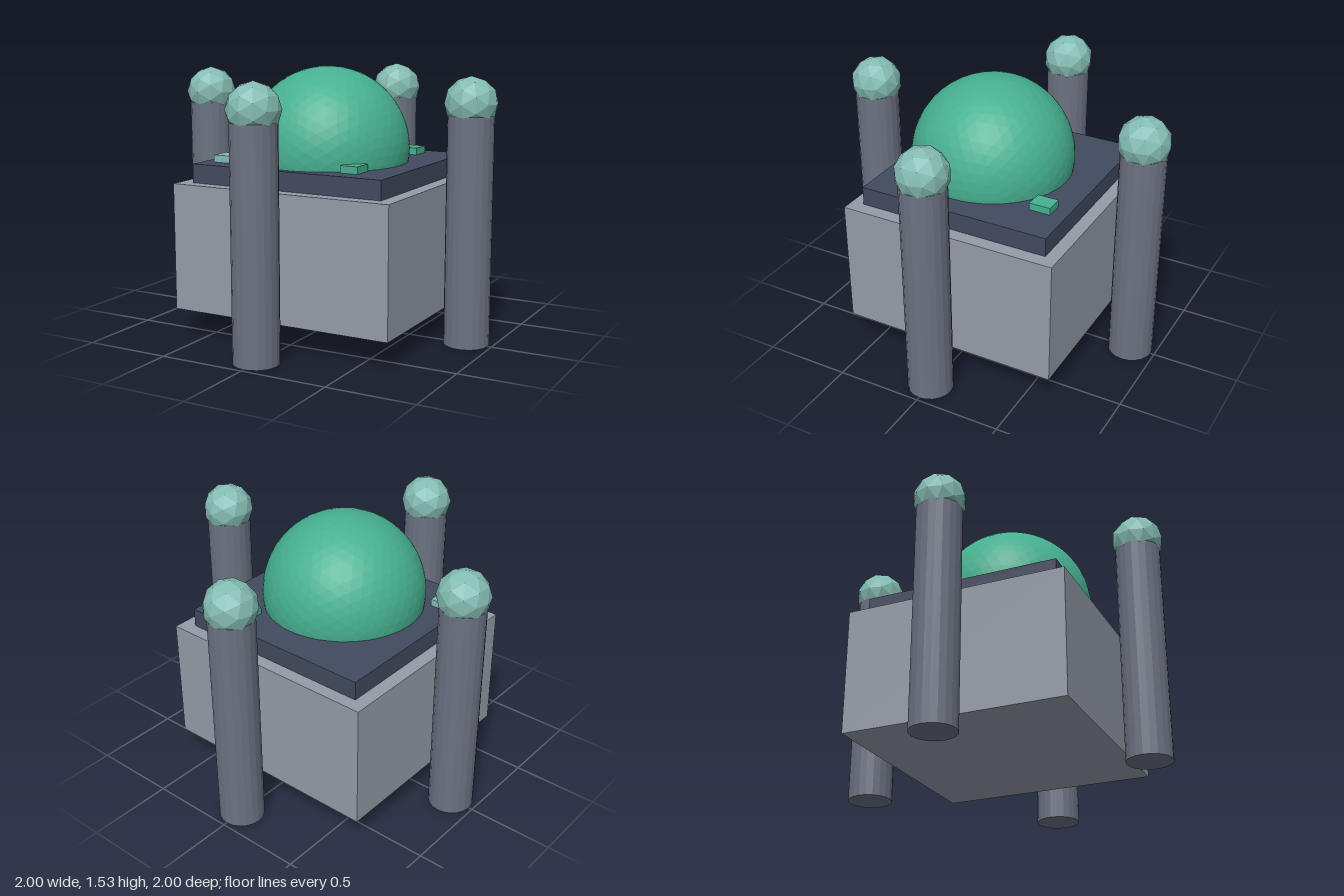
import * as THREE from 'three';

const flat = (color) => new THREE.MeshStandardMaterial({ color, flatShading: true });

export function createModel() {
  const model = new THREE.Group();
  model.name = 'domedBuilding';
  const stone = flat(0x949ca8), slate = flat(0x414a5e), pillarGrey = flat(0x6c7282);
  const green = flat(0x46b090), paleGreen = flat(0x84bcb2);

  const add = (name, geometry, material, x, y, z) => {
    const mesh = new THREE.Mesh(geometry, material);
    mesh.name = name;
    mesh.position.set(x, y, z);
    model.add(mesh);
  };

  // Main block and the roof slab on it
  add('mainBlock', new THREE.BoxGeometry(1.344, 0.727, 1.29), stone, 0, 0.5185, 0);
  add('roofSlab', new THREE.BoxGeometry(1.182, 0.108, 1.138), slate, 0, 0.936, 0);

  // Dome, sunk into the roof slightly in front of the centre
  add('dome', new THREE.IcosahedronGeometry(0.47, 8), green, 0, 1.06, 0.063);

  // Small roof tiles around the dome
  const tile = new THREE.BoxGeometry(0.104, 0.042, 0.124);
  add('roofTile', tile, green, 0.315, 1.01, -0.42);
  add('roofTile', tile, green, 0.348, 1.01, 0.403);
  add('roofTile', tile, paleGreen, -0.474, 1.01, 0.392);

  // Four free-standing pillars, one per side, each topped by a faceted ball
  const pillar = new THREE.CylinderGeometry(0.128, 0.128, 1.285, 20);
  const ball = new THREE.IcosahedronGeometry(0.148, 1);
  for (const [x, z] of [[1, 0], [-1, 0], [0, 1], [0, -1]]) {
    add('pillar', pillar, pillarGrey, x * 0.85, 0.6425, z * 0.85);
    add('pillarBall', ball, paleGreen, x * 0.85, 1.349, z * 0.85);
  }
  return model;
}
